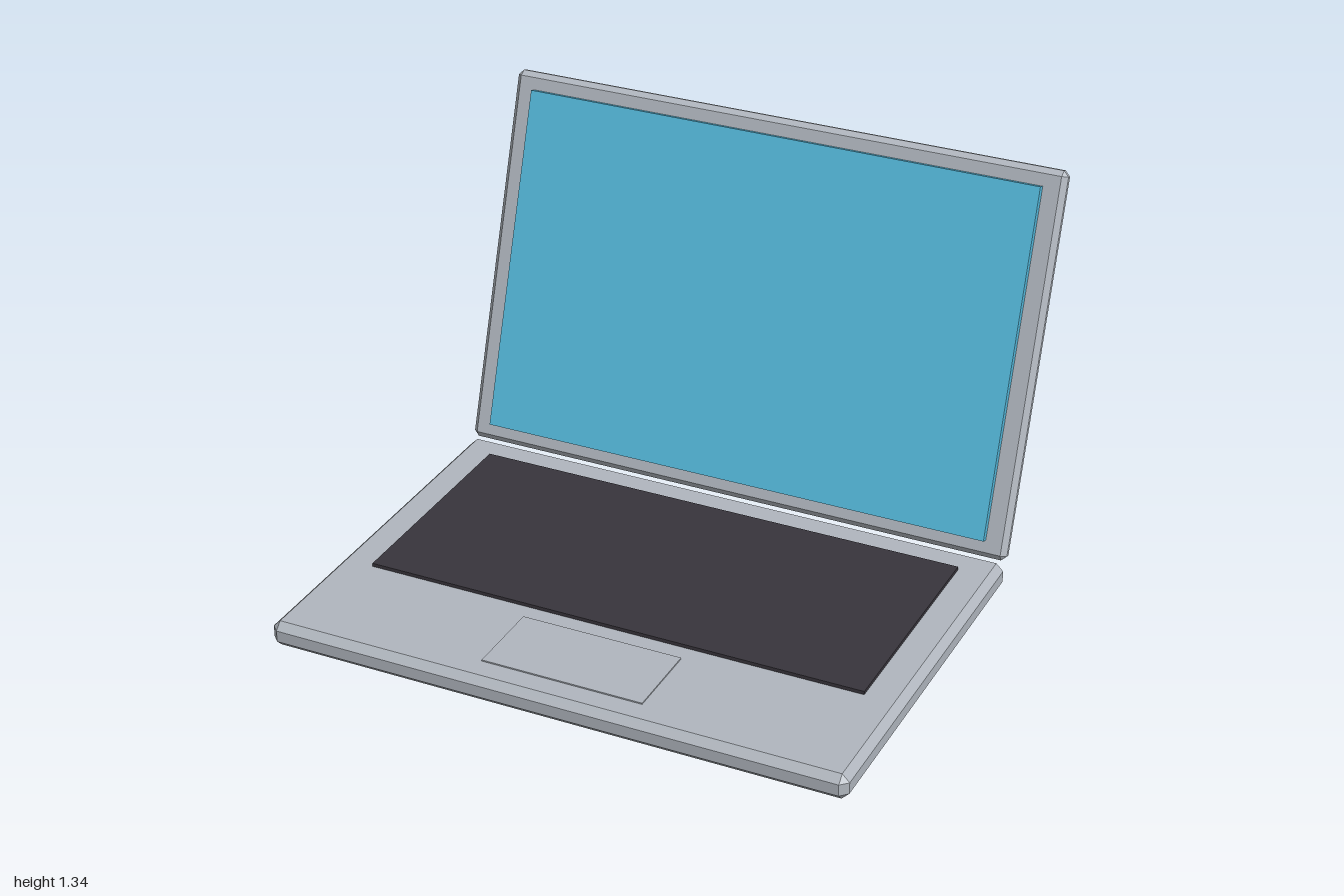
import * as THREE from 'three';
import { ConvexGeometry } from 'three/addons/geometries/ConvexGeometry.js';

// Box with every edge cut by a single flat chamfer c
function chamferBox(w, h, d, c) {
  const half = [w / 2, h / 2, d / 2];
  const points = [];
  for (const sx of [-1, 1]) for (const sy of [-1, 1]) for (const sz of [-1, 1]) {
    for (let face = 0; face < 3; face++) {
      const p = half.map((v, axis) => (axis === face ? v : v - c));
      points.push(new THREE.Vector3(p[0] * sx, p[1] * sy, p[2] * sz));
    }
  }
  return new ConvexGeometry(points);
}

function material(name, color) {
  const m = new THREE.MeshStandardMaterial({ color });
  m.name = name;
  return m;
}

function addPart(parent, name, geometry, mat, x, y, z) {
  const mesh = new THREE.Mesh(geometry, mat);
  mesh.name = name;
  mesh.position.set(x, y, z);
  parent.add(mesh);
  return mesh;
}

export function createModel() {
  const model = new THREE.Group();
  model.name = 'laptop';

  const casing = material('casing grey', 0xb0b6be);
  const dark = material('keyboard charcoal', 0x38353c);
  const blue = material('screen blue', 0x55badd);

  // Base with keyboard and trackpad
  const base = new THREE.Group();
  base.name = 'base';
  model.add(base);
  addPart(base, 'baseCasing', chamferBox(2, 0.09, 1.367, 0.025), casing, 0, 0.045, 0.2165);
  addPart(base, 'keyboard', new THREE.BoxGeometry(1.75, 0.02, 0.81), dark, 0, 0.092, 0.056);
  addPart(base, 'trackpad', new THREE.BoxGeometry(0.56, 0.01, 0.28), casing, 0, 0.0895, 0.663);

  // Lid leaning back, with the raised screen on its front
  const lid = new THREE.Group();
  lid.name = 'lid';
  lid.position.set(0, 0.71, -0.676);
  lid.rotation.x = -THREE.MathUtils.degToRad(18);
  model.add(lid);
  addPart(lid, 'lidCasing', chamferBox(2, 1.31, 0.052, 0.018), casing, 0, 0, 0);
  addPart(lid, 'screen', new THREE.BoxGeometry(1.85, 1.19, 0.03), blue, 0, 0, 0.036);

  return model;
}
